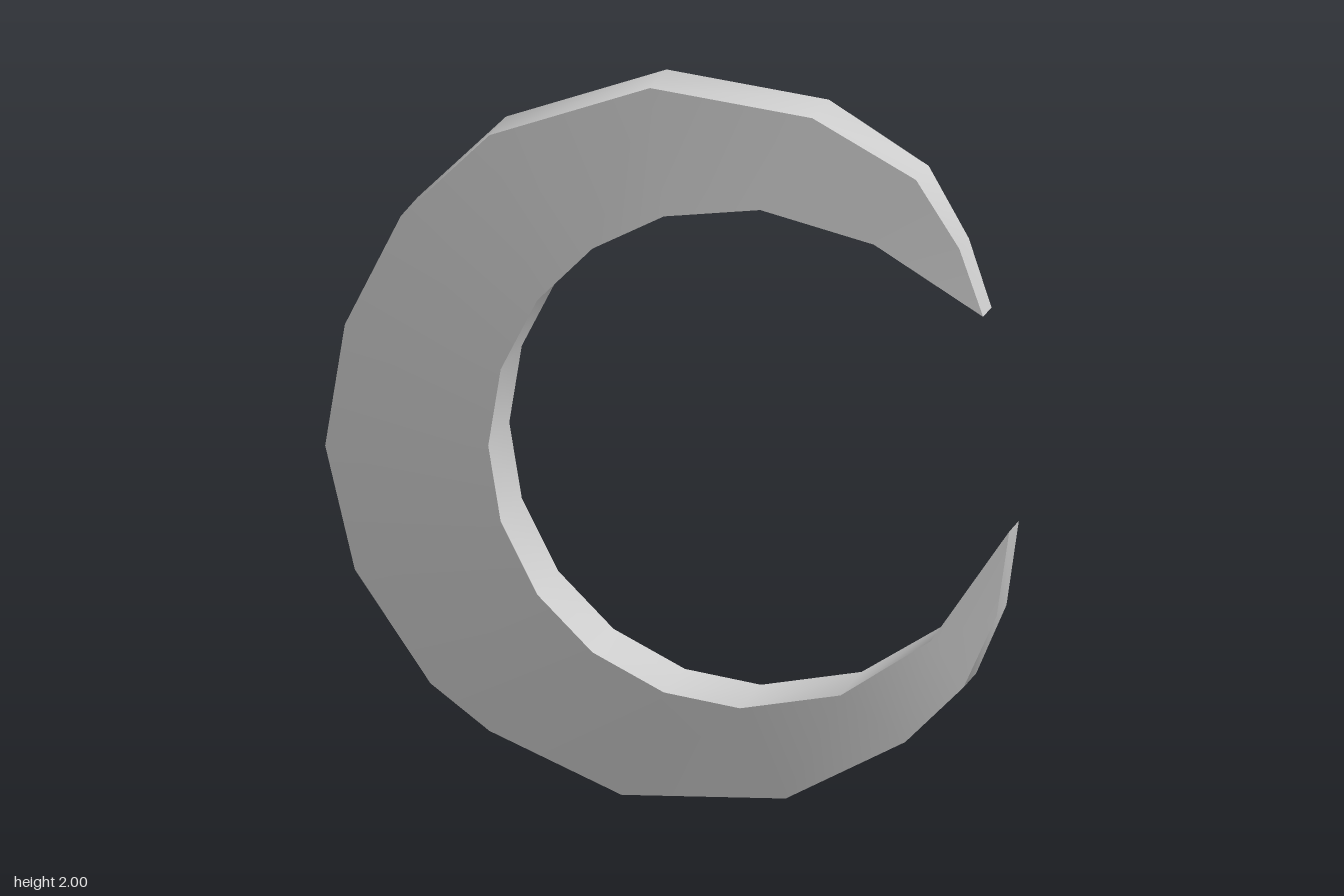
import * as THREE from 'three';
import { toCreasedNormals } from 'three/addons/utils/BufferGeometryUtils.js';

// Stations along the crescent, upper tip to lower tip:
// outer x, outer y, inner x, inner y, outer half depth, inner half depth
const R = 0.105, I = 0.133;
const stations = [
  [0.875, 1.39, 0.875, 1.39, 0.053, 0.053],
  [0.81, 1.58, 0.58, 1.59, 0.06, 0.095],
  [0.695, 1.775, 0.58, 1.59, 0.08, 0.095],
  [0.41, 1.94, 0.27, 1.68, R, I],
  [-0.045, 2.0, 0, 1.647, R, I],
  [-0.495, 1.842, -0.2, 1.545, R, I],
  [-0.743, 1.6, -0.355, 1.39, R, I],
  [-0.9, 1.285, -0.457, 1.19, R, I],
  [-0.955, 0.94, -0.492, 0.972, R, I],
  [-0.872, 0.595, -0.457, 0.76, R, I],
  [-0.66, 0.285, -0.355, 0.56, R, I],
  [-0.495, 0.16, -0.2, 0.405, R, I],
  [-0.125, 0, 0, 0.303, R, I],
  [0.335, 0.015, 0.213, 0.27, R, I],
  [0.67, 0.193, 0.495, 0.322, R, I],
  [0.828, 0.35, 0.74, 0.48, 0.08, 0.097],
  [0.915, 0.55, 0.74, 0.48, 0.062, 0.097],
  [0.95, 0.79, 0.95, 0.79, 0.06, 0.06],
];

// Corners of one cross-section: outer front, inner front, inner back, outer back
function section([ox, oy, ix, iy, ho, hi], k) {
  // the two tips sit slightly towards the back
  const z = k < 2 || k > stations.length - 3 ? -0.008 : 0;
  // fanned stations share one inner corner, so it must stay on the centre plane
  const zi = k === 0 || k === stations.length - 1 ? z : 0;
  return [
    new THREE.Vector3(ox, oy, z + ho),
    new THREE.Vector3(ix, iy, zi + hi),
    new THREE.Vector3(ix, iy, zi - hi),
    new THREE.Vector3(ox, oy, z - ho),
  ];
}

// Skin the sections, leaving out triangles that collapse at the tips and fans
function loft(sections) {
  const points = [];
  const triangle = (a, b, c) => {
    if (a.equals(b) || b.equals(c) || c.equals(a)) return;
    points.push(a, b, c);
  };
  for (let k = 0; k < sections.length - 1; k++) {
    const s = sections[k], t = sections[k + 1];
    for (let j = 0; j < 4; j++) {
      const n = (j + 1) % 4;
      triangle(s[j], t[j], t[n]);
      triangle(s[j], t[n], s[n]);
    }
  }
  return new THREE.BufferGeometry().setFromPoints(points);
}

export function createModel() {
  const group = new THREE.Group();
  group.name = 'openRing';

  // Crescent ring: smooth rims, sharp edges against the side faces
  const geometry = toCreasedNormals(loft(stations.map(section)), THREE.MathUtils.degToRad(38));
  const ring = new THREE.Mesh(geometry, new THREE.MeshStandardMaterial({ color: 0xcccccc }));
  ring.name = 'crescentRing';
  group.add(ring);
  return group;
}
